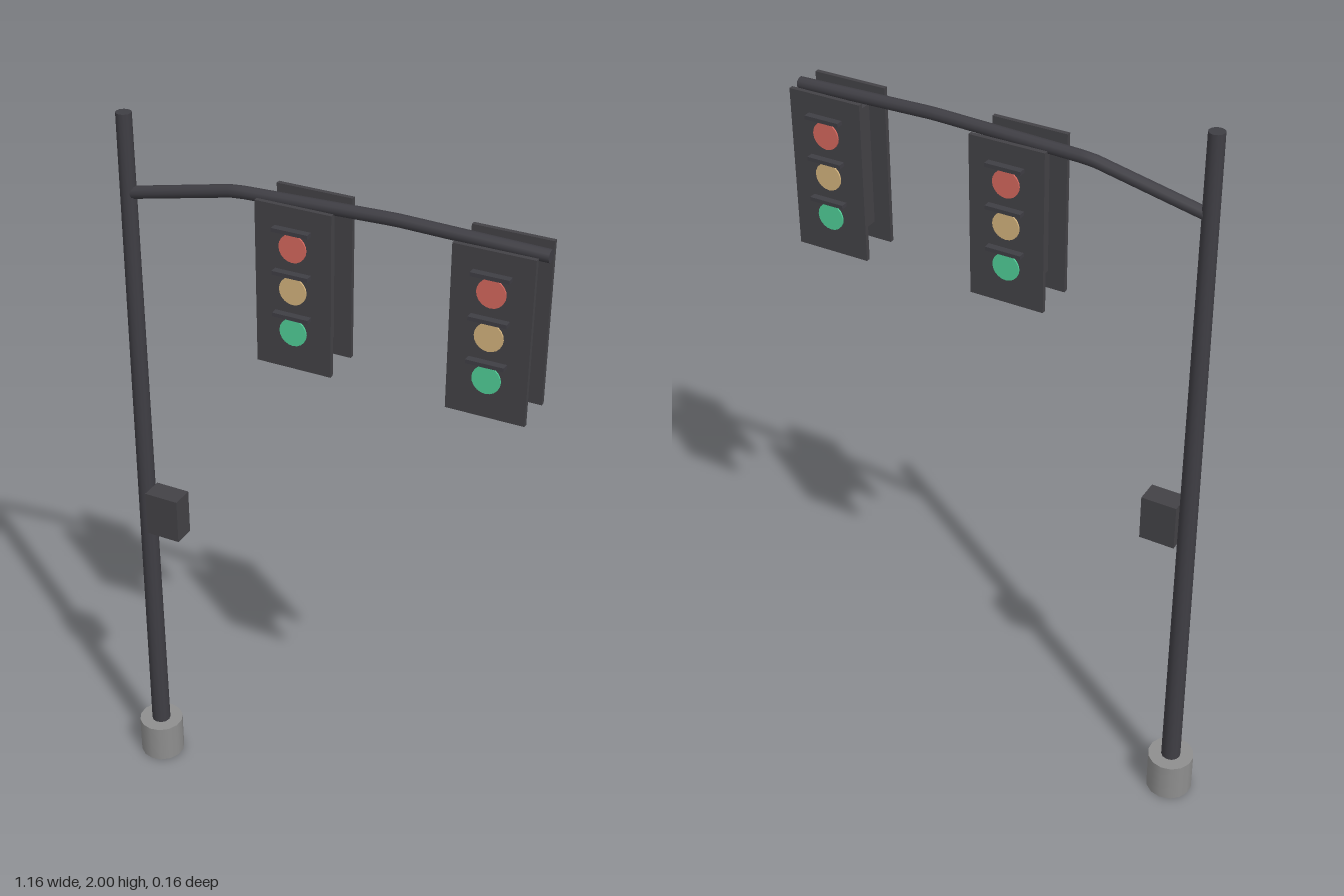
import * as THREE from 'three';

const mat = (name, color) => {
  const m = new THREE.MeshStandardMaterial({ color });
  m.name = name;
  return m;
};

export function createModel() {
  const metal = mat('dark metal', 0x3f3e44);
  const housing = mat('signal housing', 0x434246);
  const concrete = mat('concrete', 0x8e8e8e);
  const lamps = [mat('red lamp', 0xd4675d), mat('amber lamp', 0xd2b27c), mat('green lamp', 0x50cd97)];

  const model = new THREE.Group();
  model.name = 'trafficLight';

  const add = (parent, name, geometry, material, x, y, z) => {
    const mesh = new THREE.Mesh(geometry, material);
    mesh.name = name;
    mesh.position.set(x, y, z);
    parent.add(mesh);
    return mesh;
  };
  const box = (w, h, d) => new THREE.BoxGeometry(w, h, d);

  // Footing and tapered pole
  const poleX = -0.52;
  add(model, 'footing', new THREE.CylinderGeometry(0.063, 0.063, 0.114, 14), concrete, poleX, 0.059, 0);
  add(model, 'pole', new THREE.CylinderGeometry(0.02, 0.027, 2, 12), metal, poleX, 1, 0);

  // Bent mast arm: straight tubes with round joints
  const bends = [[poleX, 1.793], [-0.22, 1.858], [0.2, 1.872], [0.578, 1.864]]
    .map(([x, y]) => new THREE.Vector3(x, y, 0));
  const armPath = new THREE.CurvePath();
  for (let i = 0; i < bends.length - 1; i++) armPath.add(new THREE.LineCurve3(bends[i], bends[i + 1]));
  add(model, 'mastArm', new THREE.TubeGeometry(armPath, 30, 0.016, 10), metal, 0, 0, 0);
  const cap = add(model, 'armEndCap', new THREE.CircleGeometry(0.016, 10), metal, 0.578, 1.864, 0);
  cap.rotation.y = Math.PI / 2;

  // Control cabinet beside the pole
  add(model, 'controlBox', box(0.097, 0.127, 0.062), housing, -0.437, 0.892, 0.032);

  // Two-faced signal heads
  for (const x of [-0.033, 0.467]) {
    const head = new THREE.Group();
    head.name = 'signalHead';
    head.position.x = x;
    model.add(head);
    add(head, 'signalBody', box(0.107, 0.325, 0.106), housing, 0, 1.664, 0);
    add(head, 'hanger', box(0.02, 0.04, 0.02), metal, 0, 1.842, 0);

    for (const side of [1, -1]) {
      const face = new THREE.Group();
      face.name = side > 0 ? 'frontFace' : 'backFace';
      face.rotation.y = side > 0 ? 0 : Math.PI;
      head.add(face);
      add(face, 'backPlate', box(0.2, 0.422, 0.012), housing, 0, 1.666, 0.055);
      lamps.forEach((lamp, i) => {
        const y = 1.775 - i * 0.11;
        const disc = add(face, 'lamp', new THREE.CylinderGeometry(0.036, 0.036, 0.005, 20), lamp, 0, y, 0.0625);
        disc.rotation.x = Math.PI / 2;
        add(face, 'visor', box(0.095, 0.01, 0.022), metal, 0, y + 0.045, 0.069);
      });
    }
  }
  return model;
}
